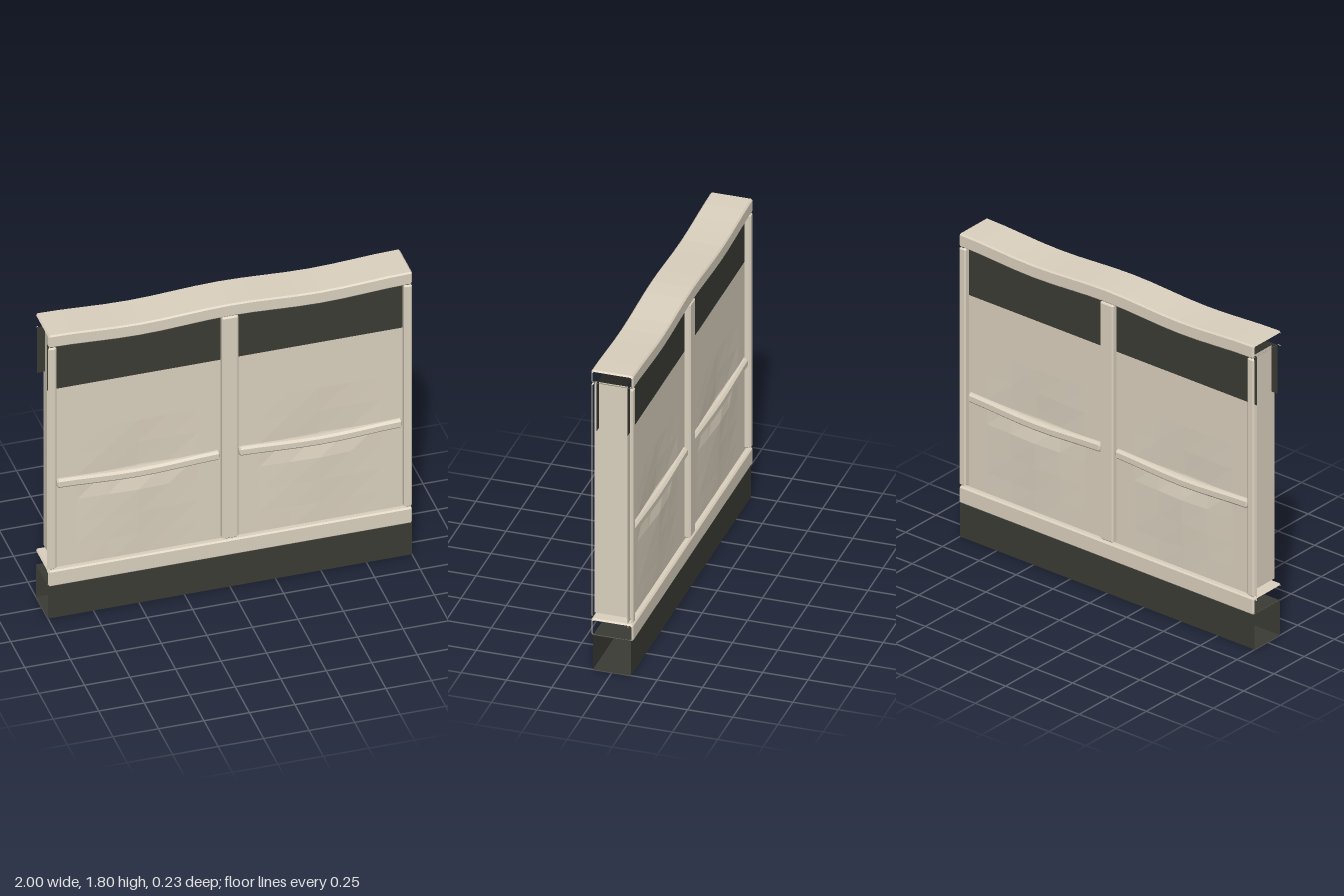
import * as THREE from 'three';

const END = 0.116; // half depth of posts and rails
const BEVEL = 0.008;

// Sag of the worn rails: lowest in the middle of each bay
const sag = (x) => -0.02 * Math.cos(Math.PI * (Math.abs(x) - 0.5)) ** 2;

// Bevelled rectangle as [z, y] pairs
function bevelled(h, y0, y1, b = BEVEL) {
  return [[b - h, y1], [h - b, y1], [h, y1 - b], [h, y0 + b],
    [h - b, y0], [b - h, y0], [-h, y0 + b], [-h, y1 - b]];
}

// Sweep a [z, y] section along x with flat facets; both ends are chamfered by bevel
function sweep(section, x0, x1, { steps = 1, bevel = BEVEL, closed = true, caps = false, dip = () => 0 } = {}) {
  const pos = [];
  const n = section.length;
  const ys = section.map((p) => p[1]);
  const mid = (Math.min(...ys) + Math.max(...ys)) / 2;
  const xs = [x0];
  for (let i = 0; i <= steps; i++) xs.push(x0 + bevel + (x1 - x0 - 2 * bevel) * i / steps);
  xs.push(x1);
  const last = xs.length - 1;
  const add = (i, k) => {
    const [z, y] = section[k % n];
    const inset = i === 0 || i === last ? bevel : 0;
    pos.push(xs[i], y - Math.sign(y - mid) * inset + dip(xs[i]), z - Math.sign(z) * inset);
  };
  for (let i = 0; i < last; i++) {
    if (xs[i] === xs[i + 1]) continue;
    for (let k = 0; k < (closed ? n : n - 1); k++) {
      add(i, k); add(i, k + 1); add(i + 1, k);
      add(i + 1, k); add(i, k + 1); add(i + 1, k + 1);
    }
  }
  if (caps) {
    for (let k = 1; k < n - 1; k++) {
      add(last, 0); add(last, k); add(last, k + 1);
      add(0, 0); add(0, k + 1); add(0, k);
    }
  }
  const g = new THREE.BufferGeometry();
  g.setAttribute('position', new THREE.Float32BufferAttribute(pos, 3));
  g.computeVertexNormals();
  return g;
}

// Battered wall sheet in coarse facets: a dent above each middle rail, a swelling below
function wallSheet() {
  const g = new THREE.PlaneGeometry(2, 1.16, 12, 8).translate(0, 0.86, 0.085);
  const p = g.attributes.position;
  for (let i = 0; i < p.count; i++) {
    const y = p.getY(i);
    const u = Math.abs(Math.abs(p.getX(i)) - 0.5) / 0.33;
    const v = Math.abs(y - 0.715) / 0.4;
    const mask = Math.max(0, 1 - Math.max(u, v, (u + v) / 1.4));
    p.setZ(i, p.getZ(i) + (y > 0.8 ? -0.02 : 0.014) * mask);
  }
  const flat = g.toNonIndexed();
  flat.computeVertexNormals();
  return flat;
}

export function createModel() {
  const model = new THREE.Group();
  model.name = 'wallSection';
  const tan = new THREE.MeshStandardMaterial({ color: 0xdad0be });
  tan.name = 'tan';
  const dark = new THREE.MeshStandardMaterial({ color: 0x3a3b34, side: THREE.DoubleSide });
  dark.name = 'charcoal';
  const add = (name, geometry, material, parent = model) => {
    const m = new THREE.Mesh(geometry, material);
    m.name = name;
    parent.add(m);
  };

  // Base and long rails, open at both ends
  const h = 0.105;
  add('base', sweep([[-h, 0.207], [h, 0.207], [h, 0], [-h, 0]], -1, 1, { bevel: 0 }), dark);
  add('bottomRail', sweep(bevelled(END, 0.205, 0.305), -1, 1), tan);
  add('topRail', sweep(bevelled(END, 1.725, 1.803), -1, 1, { steps: 16, dip: sag }), tan);

  // Middle rail of each bay
  for (const s of [-1, 1]) {
    add(s > 0 ? 'leftMiddleRail' : 'rightMiddleRail',
      sweep(bevelled(0.108, 0.815, 0.87, 0.012), s * 0.5 - 0.447, s * 0.5 + 0.447,
        { steps: 8, caps: true, dip: sag }), tan);
  }

  // Centre post
  const post = sweep(bevelled(END, -0.045, 0.045), 0.312, 1.722, { caps: true });
  add('centrePost', post.rotateZ(Math.PI / 2), tan);

  // Half posts at the ends, open outwards, with a recessed end panel
  for (const left of [true, false]) {
    const end = new THREE.Group();
    end.name = left ? 'leftEnd' : 'rightEnd';
    const section = [[BEVEL - END, -1], [-END, -0.992], [-END, -0.963], [BEVEL - END, -0.955],
      [END - BEVEL, -0.955], [END, -0.963], [END, -0.992], [END - BEVEL, -1]];
    add('endPost', sweep(section, 0.312, 1.722, { closed: false }).rotateZ(Math.PI / 2), tan, end);
    add('endPanel', new THREE.PlaneGeometry(0.222, 1.394).rotateY(Math.PI / 2)
      .translate(0.957, 1.017, 0), tan, end);
    if (!left) end.rotation.y = Math.PI;
    model.add(end);
  }

  // Wall sheets and dark upper bands on both faces
  for (const front of [true, false]) {
    const face = new THREE.Group();
    face.name = front ? 'frontWall' : 'backWall';
    add('wallSheet', wallSheet(), tan, face);
    add('upperBand', new THREE.PlaneGeometry(2, 0.29).translate(0, 1.585, 0.085), dark, face);
    if (!front) face.rotation.y = Math.PI;
    model.add(face);
  }
  return model;
}
